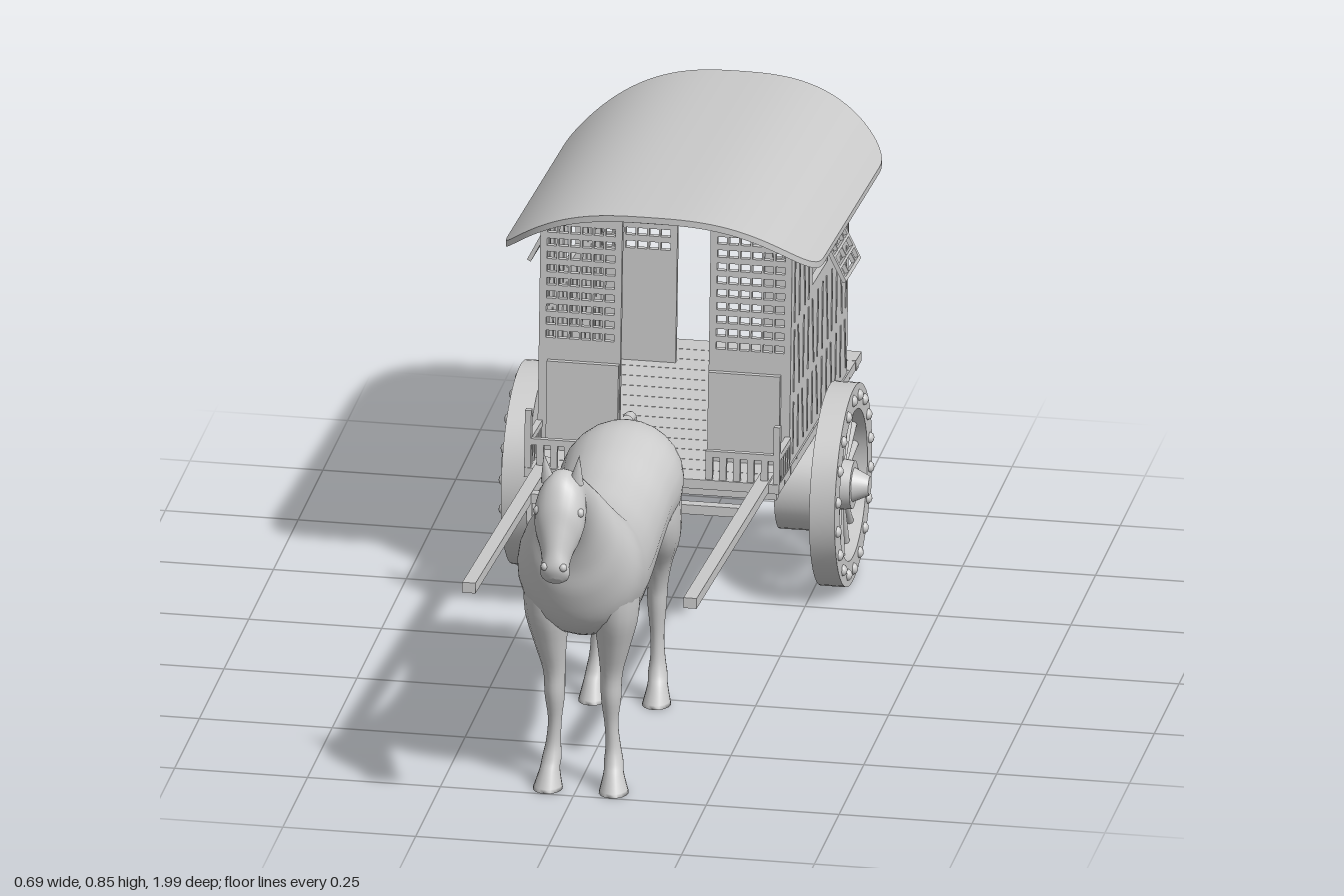
import * as THREE from 'three';
import { toCreasedNormals } from 'three/addons/utils/BufferGeometryUtils.js';

const mat = new THREE.MeshStandardMaterial({ color: 0xcccccc });

function add(parent, name, geo, x = 0, y = 0, z = 0) {
  const m = new THREE.Mesh(geo, mat);
  m.name = name;
  m.position.set(x, y, z);
  parent.add(m);
  return m;
}
const box = (w, h, d) => new THREE.BoxGeometry(w, h, d);

function group(parent, name, x = 0, y = 0, z = 0) {
  const g = new THREE.Group();
  g.name = name;
  g.position.set(x, y, z);
  parent.add(g);
  return g;
}

// Rectangle path, used for panels and their holes
function rect(P, x0, y0, x1, y1) {
  const p = new P();
  p.moveTo(x0, y0); p.lineTo(x1, y0); p.lineTo(x1, y1); p.lineTo(x0, y1); p.closePath();
  return p;
}
const extrude = (shape, depth, curveSegments = 12) =>
  new THREE.ExtrudeGeometry(shape, { depth, bevelEnabled: false, curveSegments });

// Smooth skin over oval sections [topZ, topY, bottomZ, bottomY, halfWidth, centreX]
function loft(sections, sub = 5, sides = 24) {
  const lanes = [0, 1, 2, 3, 4, 5].map(k => sections.map(s => s[k] || 0));
  const pick = (a, t) => {
    const i = Math.min(Math.floor(t), a.length - 2), f = t - i;
    const p0 = a[Math.max(i - 1, 0)], p1 = a[i], p2 = a[i + 1], p3 = a[Math.min(i + 2, a.length - 1)];
    const m1 = (p2 - p0) / 2, m2 = (p3 - p1) / 2, f2 = f * f, f3 = f2 * f;
    return p1 * (2 * f3 - 3 * f2 + 1) + m1 * (f3 - 2 * f2 + f) + p2 * (3 * f2 - 2 * f3) + m2 * (f3 - f2);
  };
  const rings = (sections.length - 1) * sub, pos = [], idx = [];
  for (let r = 0; r <= rings; r++) {
    const [tz, ty, bz, by, w, cx] = lanes.map(l => pick(l, r / sub));
    for (let j = 0; j < sides; j++) {
      const a = (j / sides) * Math.PI * 2, c = Math.cos(a) / 2;
      pos.push(cx + w * Math.sin(a), (ty + by) / 2 + (ty - by) * c, (tz + bz) / 2 + (tz - bz) * c);
      if (r < rings) {
        const k = (j + 1) % sides, p = r * sides, q = p + sides;
        idx.push(p + j, q + j, q + k, p + j, q + k, p + k);
      }
    }
  }
  // end caps
  for (const [r, flip] of [[0, false], [rings, true]]) {
    for (let j = 1; j < sides - 1; j++) {
      const o = r * sides;
      idx.push(o, ...(flip ? [o + j + 1, o + j] : [o + j, o + j + 1]));
    }
  }
  const g = new THREE.BufferGeometry();
  g.setAttribute('position', new THREE.Float32BufferAttribute(pos, 3));
  g.setIndex(idx);
  g.computeVertexNormals();
  return g;
}

function buildHorse(root) {
  const horse = group(root, 'horse', 0.008);
  // rump to muzzle
  add(horse, 'horseBody', loft([
    [0.197, 0.48, 0.2, 0.46, 0.01], [0.207, 0.525, 0.203, 0.41, 0.06], [0.24, 0.55, 0.225, 0.365, 0.098],
    [0.3, 0.56, 0.29, 0.345, 0.115], [0.38, 0.55, 0.38, 0.335, 0.11], [0.47, 0.535, 0.47, 0.305, 0.107],
    [0.58, 0.54, 0.58, 0.29, 0.112], [0.67, 0.563, 0.685, 0.297, 0.118], [0.715, 0.585, 0.765, 0.34, 0.115],
    [0.75, 0.615, 0.8, 0.415, 0.09], [0.775, 0.64, 0.808, 0.475, 0.068], [0.8, 0.658, 0.822, 0.525, 0.053],
    [0.83, 0.678, 0.845, 0.565, 0.045], [0.865, 0.697, 0.87, 0.585, 0.042], [0.9, 0.711, 0.892, 0.575, 0.044],
    [0.932, 0.7, 0.912, 0.566, 0.048], [0.957, 0.665, 0.932, 0.556, 0.044], [0.973, 0.625, 0.945, 0.543, 0.033],
    [0.987, 0.585, 0.955, 0.525, 0.026], [0.998, 0.552, 0.966, 0.514, 0.027], [0.994, 0.53, 0.977, 0.514, 0.015],
  ]));
  const fore = [
    [0.775, 0.45, 0.64, 0.43, 0.04, 0.068], [0.765, 0.36, 0.645, 0.35, 0.042, 0.065], [0.74, 0.29, 0.665, 0.29, 0.031, 0.06],
    [0.72, 0.23, 0.672, 0.23, 0.021, 0.054], [0.717, 0.18, 0.672, 0.18, 0.019, 0.053], [0.708, 0.13, 0.678, 0.13, 0.013, 0.053],
    [0.708, 0.085, 0.675, 0.085, 0.014, 0.056], [0.718, 0.055, 0.675, 0.055, 0.018, 0.058], [0.73, 0.035, 0.685, 0.035, 0.019, 0.06],
    [0.75, 0, 0.685, 0, 0.028, 0.062],
  ];
  const hind = [
    [0.37, 0.48, 0.225, 0.48, 0.042, 0.06], [0.385, 0.4, 0.208, 0.4, 0.045, 0.064], [0.35, 0.335, 0.215, 0.34, 0.042, 0.064],
    [0.3, 0.28, 0.218, 0.285, 0.028, 0.06], [0.275, 0.23, 0.218, 0.235, 0.02, 0.057], [0.268, 0.19, 0.222, 0.19, 0.018, 0.056],
    [0.26, 0.13, 0.228, 0.13, 0.013, 0.056], [0.262, 0.085, 0.228, 0.085, 0.014, 0.057], [0.272, 0.055, 0.23, 0.055, 0.018, 0.058],
    [0.285, 0.035, 0.24, 0.035, 0.019, 0.06], [0.305, 0, 0.242, 0, 0.027, 0.06],
  ];
  for (const s of [1, -1]) {
    const side = s > 0 ? 'left' : 'right';
    const place = secs => loft(secs.map(v => [...v.slice(0, 5), v[5] * s]), 4, 16);
    add(horse, side + 'ForeLeg', place(fore));
    add(horse, side + 'HindLeg', place(hind));
    const ear = add(horse, side + 'Ear', new THREE.ConeGeometry(0.014, 0.06, 12).scale(1, 1, 0.7), s * 0.03, 0.717, 0.908);
    ear.rotation.set(0.1, 0, -s * 0.12);
    add(horse, side + 'Eye', new THREE.SphereGeometry(0.009, 12, 8), s * 0.039, 0.643, 0.94);
    add(horse, side + 'Nostril', new THREE.SphereGeometry(0.008, 10, 8), s * 0.017, 0.552, 0.99);
  }
  const tail = new THREE.CatmullRomCurve3([[0.25, 0.55], [0.212, 0.543], [0.196, 0.515], [0.197, 0.48]]
    .map(([z, y]) => new THREE.Vector3(0, y, z)));
  add(horse, 'tail', new THREE.TubeGeometry(tail, 16, 0.011, 10));
}

function buildWheel(root, s) {
  const wheel = group(root, s > 0 ? 'leftWheel' : 'rightWheel', 0, 0.19, -0.395);
  wheel.rotation.y = s > 0 ? 0 : Math.PI;
  const ring = new THREE.Shape().absarc(0, 0, 0.19, 0, Math.PI * 2);
  ring.holes.push(new THREE.Path().absarc(0, 0, 0.142, 0, Math.PI * 2));
  add(wheel, 'rim', toCreasedNormals(extrude(ring, 0.048, 24).rotateY(Math.PI / 2), 0.6), 0.266);
  const lying = (rA, rB, len) => new THREE.CylinderGeometry(rA, rB, len, 32).rotateZ(-Math.PI / 2);
  add(wheel, 'innerDrum', lying(0.09, 0.09, 0.085), 0.224);
  add(wheel, 'hub', lying(0.045, 0.05, 0.05), 0.29);
  add(wheel, 'hubCap', lying(0.018, 0.032, 0.03), 0.33);
  const n = 18;
  for (let i = 0; i < n; i++) {
    const spin = group(wheel, 'spokeAndStud');
    spin.rotation.x = (i / n) * Math.PI * 2;
    add(spin, 'spoke', new THREE.CylinderGeometry(0.008, 0.005, 0.105, 8), 0.29, 0.093);
    add(spin, 'stud', new THREE.SphereGeometry(0.011, 10, 8).scale(0.8, 1, 1), 0.314, 0.167);
  }
}

function buildCart(root) {
  // the cart body leans back on its axle
  const cart = group(root, 'cart', 0, 0.322, 0);
  cart.rotation.x = -0.077;

  // floor planks, running crosswise
  const planks = 14, pitch = 0.84 / planks;
  for (let i = 0; i < planks; i++)
    add(cart, 'floorPlank', box(0.48, 0.018, pitch - 0.0015), 0, -0.004, -0.04 - pitch * (i + 0.5));
  add(cart, 'shaftCrossbar', box(0.42, 0.018, 0.025), 0, 0, 0.115);
  for (const z of [-0.055, -0.865]) add(cart, 'floorBeam', box(0.47, 0.016, 0.02), 0, -0.018, z);

  // lattice end panel
  const end = rect(THREE.Shape, -0.077, 0, 0.077, 0.463);
  for (let c = 0; c < 6; c++) for (let r = 0; r < 9; r++) {
    const x = -0.064 + c * 0.022, y = 0.222 + r * 0.0255;
    end.holes.push(rect(THREE.Path, x, y, x + 0.018, y + 0.014));
  }
  const endGeo = extrude(end, 0.012);

  // side wall with window opening
  const wall = rect(THREE.Shape, 0.16, 0, 0.745, 0.462);
  wall.holes.push(rect(THREE.Path, 0.375, 0.29, 0.525, 0.415));
  const wallGeo = extrude(wall, 0.012).rotateY(Math.PI / 2).translate(-0.006, 0, 0);

  // window flap with staggered slats
  const flap = rect(THREE.Shape, 0, -0.13, 0.15, 0);
  for (let r = 0; r < 5; r++) {
    const cuts = r % 2 ? [0.01, 0.075, 0.144] : [0.01, 0.045, 0.11, 0.144], y = -0.123 + r * 0.0235;
    for (let c = 0; c < cuts.length - 1; c++)
      flap.holes.push(rect(THREE.Path, cuts[c], y, cuts[c + 1] - 0.005, y + 0.018));
  }
  const flapGeo = extrude(flap, 0.008).rotateY(Math.PI / 2).translate(-0.004, 0, 0);

  for (const s of [1, -1]) {
    add(cart, 'shaft', box(0.025, 0.02, 0.79), s * 0.208, 0, 0.295);
    add(cart, 'rearBar', box(0.026, 0.022, 0.22), s * 0.16, -0.016, -0.89);
    add(cart, 'frontLattice', endGeo, s * 0.16, 0, -0.172);
    add(cart, 'rearLattice', endGeo, s * 0.16, 0, -0.745);
    add(cart, 'frontLowerPanel', box(0.135, 0.15, 0.014), s * 0.152, 0.105, -0.155);
    add(cart, 'sideWall', wallGeo, s * 0.231);
    add(cart, 'windowFlap', flapGeo, s * 0.238, 0.415, -0.375).rotation.z = s * 0.47;

    // plank seams, some of them slanting
    for (let i = 0; i < 12; i++) {
      const z = -0.19 - i * 0.048, beside = z > -0.365 || z < -0.535;
      for (const [y, len] of beside ? [[0.07, 0.1], [0.2, 0.12], [0.35, 0.15]] : [[0.07, 0.1], [0.2, 0.13]]) {
        const seam = add(cart, 'plankSeam', box(0.016, len, 0.004), s * 0.231, y, z);
        seam.rotation.x = (i + Math.round(y * 10)) % 3 === 0 ? 0.17 : 0;
      }
    }

    // low railing round the driver's step
    add(cart, 'cornerPost', box(0.012, 0.115, 0.014), s * 0.234, 0.058, -0.05);
    add(cart, 'sideRail', box(0.012, 0.012, 0.11), s * 0.234, 0.055, -0.105);
    add(cart, 'frontRail', box(0.135, 0.012, 0.012), s * 0.168, 0.055, -0.05);
    for (let i = 0; i < 5; i++) {
      add(cart, 'sideBaluster', box(0.01, 0.05, 0.01), s * 0.234, 0.028, -0.07 - i * 0.021);
      add(cart, 'frontBaluster', box(0.013, 0.05, 0.01), s * (0.107 + i * 0.026), 0.028, -0.05);
    }
  }
  for (const z of [-0.166, -0.739]) add(cart, 'doorHeader', box(0.47, 0.012, 0.014), 0, 0.462, z);

  // arched roof with rounded ends
  const roof = new THREE.BoxGeometry(2, 1, 2, 48, 1, 12), p = roof.attributes.position;
  for (let i = 0; i < p.count; i++) {
    const u = Math.sin(p.getX(i) * Math.PI / 2), a = Math.min(Math.abs(u), 1);
    const half = 0.46 - 0.18 * (1 - Math.pow(1 - Math.pow(a, 2.5), 0.4));
    p.setXYZ(i, u * 0.297, 0.52 - 0.11 * Math.pow(a, 2.8) + p.getY(i) * 0.012, -0.44 + p.getZ(i) * half);
  }
  add(cart, 'roof', toCreasedNormals(roof, 0.7));
}

export function createModel() {
  const root = new THREE.Group();
  root.name = 'horseAndCart';
  buildHorse(root);
  buildCart(root);
  for (const s of [1, -1]) buildWheel(root, s);
  add(root, 'axle', new THREE.CylinderGeometry(0.016, 0.016, 0.5, 20).rotateZ(Math.PI / 2), 0, 0.195, -0.395);
  return root;
}
